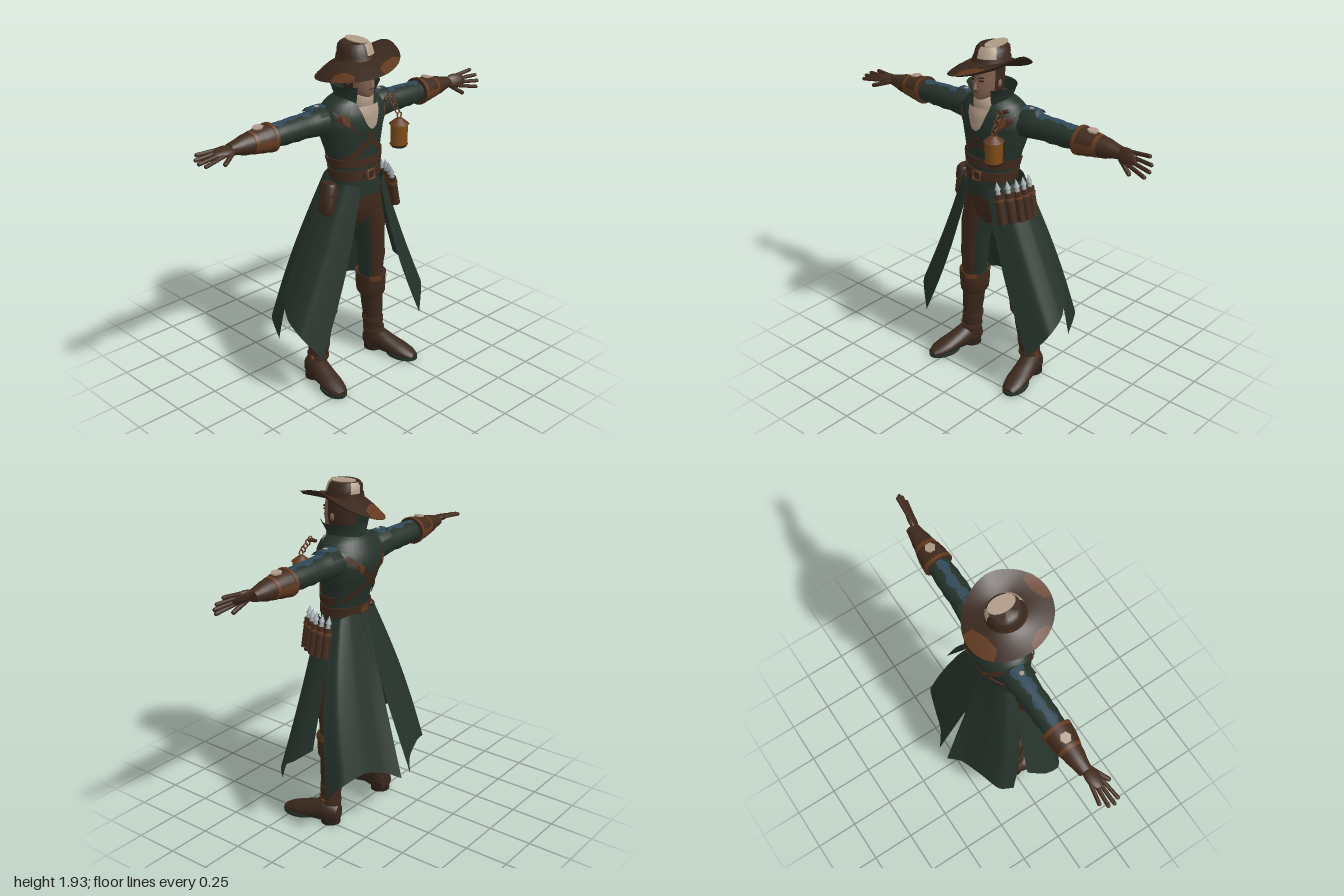
import * as THREE from 'three';
import { toCreasedNormals, mergeVertices } from 'three/addons/utils/BufferGeometryUtils.js';

const paint = (name, color) => {
  const m = new THREE.MeshStandardMaterial({ color, side: THREE.DoubleSide });
  m.name = name;
  return m;
};
const green = paint('coatGreen', 0x25322a), leather = paint('leather', 0x412a1d), hatBrown = paint('darkLeather', 0x3a281d),
  rust = paint('rustTrim', 0x623a20), cream = paint('cream', 0xae9a86), skin = paint('skin', 0x80604f),
  amber = paint('amber', 0x804c18), blue = paint('blueWear', 0x2f4857), silver = paint('glass', 0x9aa2a4), dark = paint('shadowBrown', 0x2a1e18);
const V = (x, y, z) => new THREE.Vector3(x, y, z);

function add(parent, name, geo, mat, p = [0, 0, 0], r = [0, 0, 0], s = [1, 1, 1]) {
  const m = new THREE.Mesh(geo, mat);
  m.name = name;
  m.position.set(...p); m.rotation.set(...r); m.scale.set(...s);
  parent.add(m);
  return m;
}
// surface from a rule: u runs to the right, v runs up, seen from outside
function grid(fn, nu, nv) {
  const pos = [], idx = [];
  for (let i = 0; i <= nv; i++) for (let j = 0; j <= nu; j++) pos.push(...fn(j / nu, i / nv));
  for (let i = 0; i < nv; i++) for (let j = 0; j < nu; j++) {
    const a = i * (nu + 1) + j, b = a + 1, c = a + nu + 1, d = c + 1;
    idx.push(a, b, d, a, d, c);
  }
  const g = new THREE.BufferGeometry();
  g.setAttribute('position', new THREE.Float32BufferAttribute(pos, 3));
  g.setIndex(idx);
  return toCreasedNormals(g, 0.8);
}
// elliptical cross-sections [x, y, z, rx, rz] from bottom to top
function loft(rings, { n = 24, a0 = 0, a1 = Math.PI * 2, cap = true } = {}) {
  const f = rings[0], l = rings[rings.length - 1];
  const R = cap ? [[f[0], f[1], f[2], 0, 0], ...rings, [l[0], l[1], l[2], 0, 0]] : rings;
  return grid((u, v) => {
    const [x, y, z, rx, rz] = R[Math.round(v * (R.length - 1))], a = a0 + (a1 - a0) * u;
    return [x + rx * Math.sin(a), y, z + rz * Math.cos(a)];
  }, n, R.length - 1);
}
function rod(parent, name, a, b, r, mat) {
  const d = V(...b).sub(V(...a));
  const m = add(parent, name, new THREE.CapsuleGeometry(r, d.length(), 4, 10), mat);
  m.position.set(...a).addScaledVector(d, 0.5);
  m.quaternion.setFromUnitVectors(V(0, 1, 0), d.normalize());
}
// right-hand copy with corners put back in order
function mirrored(group) {
  const out = new THREE.Group();
  out.name = group.name.replace('left', 'right');
  group.updateMatrixWorld(true);
  group.traverse((o) => {
    if (!o.isMesh) return;
    const g = mergeVertices(o.geometry.clone().applyMatrix4(o.matrixWorld).scale(-1, 1, 1));
    const ix = g.index.array;
    for (let i = 0; i < ix.length; i += 3) [ix[i], ix[i + 1]] = [ix[i + 1], ix[i]];
    add(out, o.name, g, o.material);
  });
  return out;
}

const TORSO = [[0, 1.11, 0.09, 0.155, 0.107], [0, 1.2, 0.088, 0.14, 0.11], [0, 1.3, 0.078, 0.152, 0.115], [0, 1.4, 0.06, 0.18, 0.135],
  [0, 1.5, 0.048, 0.203, 0.154], [0, 1.57, 0.053, 0.203, 0.138], [0, 1.62, 0.06, 0.16, 0.11], [0, 1.66, 0.07, 0.08, 0.08]];
function torsoAt(y, grow = 0) {
  let i = 0;
  while (i < TORSO.length - 2 && TORSO[i + 1][1] < y) i++;
  const a = TORSO[i], b = TORSO[i + 1], t = (y - a[1]) / (b[1] - a[1]);
  return a.map((q, k) => q + (b[k] - q) * t + (k > 2 ? grow : 0));
}
// point on the chest (side 1) or back (side -1)
function onTorso(x, y, grow, side = 1) {
  const [, , z, rx, rz] = torsoAt(Math.max(1.11, y), grow), q = Math.min(0.98, Math.abs(x / rx));
  return [x, y, z + side * rz * Math.sqrt(1 - q * q)];
}
const strap = (x0, y0, x1, y1, w, side, grow = 0.008) =>
  grid((u, v) => onTorso(x0 + (x1 - x0) * u, y0 + (y1 - y0) * u + (v - 0.5) * w, grow, side), 20, 2);

function buildTorso(g) {
  add(g, 'coatBody', loft(TORSO, { n: 32 }), green);
  add(g, 'hips', loft([[0, 0.92, 0.08, 0.035, 0.06], [0, 0.97, 0.085, 0.1, 0.085], [0, 1.05, 0.09, 0.145, 0.1], [0, 1.14, 0.09, 0.15, 0.105]]), leather);
  for (const s of [1, -1]) {
    add(g, 'frontStrap', strap(-s * 0.18, 1.57, s * 0.145, 1.31, 0.046, 1), leather);
    add(g, 'backStrap', strap(-s * 0.17, 1.57, s * 0.13, 1.3, 0.046, -1), leather);
    add(g, 'strapBuckle', strap(s * 0.125, 1.535, s * 0.155, 1.56, 0.05, 1, 0.011), rust);
    add(g, 'backBuckle', strap(s * 0.075, 1.485, s * 0.1, 1.505, 0.044, -1, 0.012), rust);
    add(g, 'lapel', grid((u, v) => onTorso(s * (0.014 + v * 0.05 + u * 0.075 * Math.sin(v * 2.5)), 1.41 + v * 0.2, 0.014), 6, 8), green);
    // two-pointed hem under the belt
    add(g, 'vestPoint', grid((u, v) => onTorso(s * u * 0.115, 1.19 - (1 - v) * (0.045 + 0.05 * Math.sin(u * 2.6)), 0.006), 10, 3), green);
  }
  const band = (y, h, o) => loft([torsoAt(y, 0.005), torsoAt(y, 0.012), torsoAt(y + h, 0.012), torsoAt(y + h, 0.005)], { n: 32, cap: false, ...o });
  add(g, 'waistBelt', band(1.205, 0.055), leather);
  add(g, 'upperBelt', band(1.28, 0.045, { a0: -2, a1: 2 }), leather);
  add(g, 'beltPatch', strap(-0.05, 1.235, 0.02, 1.235, 0.04, -1, 0.014), rust);
  add(g, 'buckle', new THREE.TorusGeometry(0.036, 0.007, 6, 4), rust, [0, 1.23, 0.211], [0, 0, Math.PI / 4]);
  add(g, 'buckleStrap', new THREE.BoxGeometry(0.1, 0.022, 0.01), hatBrown, [0, 1.23, 0.206]);
  add(g, 'collar', loft([[0, 1.59, 0.07, 0.12, 0.108], [0, 1.65, 0.075, 0.103, 0.105], [0, 1.715, 0.085, 0.138, 0.122]], { a0: 0.6, a1: Math.PI * 2 - 0.6, cap: false }), green);
  add(g, 'neckScarf', loft([[0, 1.57, 0.095, 0.075, 0.092], [0, 1.61, 0.103, 0.078, 0.094], [0, 1.65, 0.112, 0.068, 0.086], [0, 1.675, 0.115, 0.056, 0.072]]), cream);
  add(g, 'scarfPoint', grid((u, v) => {
    const p = onTorso((u - 0.5) * 2 * (0.004 + 0.064 * Math.sqrt(v)), 1.485 + v * 0.125, 0.018);
    return [p[0], p[1], p[2] + 0.012 * v * Math.cos((u - 0.5) * 3)];
  }, 10, 8), cream);
}

function buildHead(g) {
  add(g, 'head', loft([[0, 1.645, 0.15, 0.032, 0.04], [0, 1.665, 0.14, 0.05, 0.066], [0, 1.7, 0.125, 0.063, 0.082], [0, 1.75, 0.118, 0.07, 0.088], [0, 1.83, 0.11, 0.07, 0.085]]), skin);
  add(g, 'hairBack', loft([[0, 1.67, 0.11, 0.066, 0.082], [0, 1.74, 0.11, 0.077, 0.09], [0, 1.83, 0.105, 0.077, 0.09]], { a0: 1.2, a1: Math.PI * 2 - 1.2, cap: false }), hatBrown);
  add(g, 'nose', new THREE.ConeGeometry(0.012, 0.045, 8), skin, [0, 1.735, 0.21], [-0.2, 0, 0]);
  add(g, 'mouth', new THREE.BoxGeometry(0.03, 0.004, 0.006), leather, [0, 1.697, 0.205]);
  for (const s of [1, -1]) {
    add(g, 'eye', new THREE.BoxGeometry(0.022, 0.007, 0.006), dark, [s * 0.028, 1.757, 0.198], [0, s * 0.35, 0]);
    add(g, 'brow', new THREE.BoxGeometry(0.028, 0.007, 0.008), hatBrown, [s * 0.028, 1.773, 0.198], [0, s * 0.35, s * 0.15]);
    add(g, 'ear', new THREE.SphereGeometry(0.018, 10, 8), skin, [s * 0.075, 1.735, 0.11], [0, 0, 0], [0.5, 1.2, 0.8]);
  }
  // hat with a swept brim, turned up on one side
  const brim = (a, r, lift) => {
    const sx = Math.sin(a), cz = Math.cos(a);
    const y = 1.838 + Math.pow(r, 1.4) * (-0.065 + 0.06 * sx + 0.035 * cz + 0.03 * sx * sx + 0.03 * Math.max(0, sx) ** 10);
    return [(0.075 + 0.128 * r) * sx, y + lift, 0.1 + (0.075 + 0.162 * r) * cz];
  };
  add(g, 'hatBrim', grid((u, v) => {
    const k = Math.round(v * 16);
    return brim(u * Math.PI * 2, k < 8 ? k / 8 : (16 - k) / 8, k < 8 ? -0.007 : 0.007);
  }, 48, 16), hatBrown);
  for (const [a, w, r0] of [[3.4, 0.5, 0.5], [0.25, 0.4, 0.55], [-1.2, 0.3, 0.65]])
    add(g, 'brimPatch', grid((u, v) => brim(a + (u - 0.5) * 2 * w, 1 - (1 - r0) * v * (0.6 + 0.4 * Math.sin(u * 3.1)), 0.01), 10, 4), rust);
  const crown = [[0, 1.83, 0.09, 0.097, 0.107], [0, 1.865, 0.085, 0.09, 0.1], [0, 1.905, 0.078, 0.083, 0.093], [0, 1.922, 0.078, 0.066, 0.078]];
  add(g, 'hatCrown', loft(crown), hatBrown);
  add(g, 'hatBand', loft([[0, 1.838, 0.088, 0.099, 0.109], [0, 1.858, 0.085, 0.095, 0.105]], { cap: false }), leather);
  for (const [a0, a1] of [[-0.1, 1], [2.5, 3.1]])
    add(g, 'crownPatch', loft(crown.slice(1).map(([x, y, z, a, b]) => [x, y + 0.002, z, a + 0.004, b + 0.004]), { a0, a1, cap: false, n: 10 }), cream);
  add(g, 'crownTopPatch', new THREE.CylinderGeometry(1, 1, 0.005, 24), cream, [0.022, 1.927, 0.075], [0.06, 0, 0], [0.044, 1, 0.076]);
}

function buildArm() {
  const g = new THREE.Group();
  g.name = 'leftArm';
  // sections run outward along the arm
  const along = (name, rows, mat, o) => add(g, name, loft(rows.map(([d, ry, rz]) => [0, d, 0, ry, rz ?? ry]), o), mat, [0, 1.525, 0.03], [0, 0, -Math.PI / 2]);
  along('sleeve', [[0.12, 0.075, 0.08], [0.2, 0.076, 0.08], [0.27, 0.068, 0.072], [0.33, 0.062, 0.066], [0.37, 0.066, 0.07], [0.41, 0.061, 0.066], [0.45, 0.064, 0.068], [0.49, 0.058, 0.063], [0.56, 0.056, 0.062]], green);
  along('shoulderFlap', [[0.15, 0.07, 0.08], [0.2, 0.084, 0.086], [0.255, 0.088, 0.09]], green, { cap: false, a0: -Math.PI / 2 - 1, a1: -Math.PI / 2 + 1 });
  // ragged worn stripe on top of the arm
  add(g, 'blueWear', grid((u, v) => {
    const d = 0.18 + 0.35 * v, r = d < 0.27 ? 0.09 : 0.07 - (d - 0.27) * 0.03;
    const a = (u - 0.5) * (0.7 + 0.2 * Math.sin(v * 23) + 0.1 * Math.sin(v * 51)) + 0.1 * Math.sin(v * 13);
    return [d, 1.525 + r * Math.cos(a), 0.03 - (r + 0.003) * Math.sin(a)];
  }, 6, 28), blue);
  along('glove', [[0.53, 0.074, 0.08], [0.6, 0.068, 0.073], [0.66, 0.055, 0.058], [0.7, 0.052, 0.054], [0.74, 0.04, 0.044], [0.79, 0.028, 0.036]], leather);
  along('cuffTrim', [[0.533, 0.077, 0.083], [0.552, 0.076, 0.081]], rust);
  along('wristStrap', [[0.645, 0.061, 0.064], [0.665, 0.057, 0.061]], rust);
  for (const a of [-0.2, 2.6])
    along('gauntletPatch', [[0.55, 0.076, 0.081], [0.6, 0.071, 0.076], [0.65, 0.061, 0.065]], rust, { cap: false, n: 8, a0: a, a1: a + 0.75 });
  add(g, 'backPlate', new THREE.CylinderGeometry(0.03, 0.03, 0.008, 6), cream, [0.61, 1.595, 0.03], [0, 0, -0.15]);
  add(g, 'shoulderScuff', new THREE.CylinderGeometry(0.013, 0.013, 0.006, 6), cream, [0.225, 1.614, 0.035]);
  return g;
}
function buildHand(turn, yaw) {
  const g = new THREE.Group();
  g.name = 'leftHandParts';
  add(g, 'palm', new THREE.SphereGeometry(1, 16, 12), leather, [0.055, 0, 0], [0, 0, 0], [0.07, 0.02, 0.042]);
  for (let i = 0; i < 4; i++) {
    const k = i - 1.5, len = [0.2, 0.215, 0.21, 0.18][i];
    rod(g, 'finger', [0.08, 0, -k * 0.021], [len, -0.006, -k * 0.034], 0.0105, leather);
  }
  rod(g, 'thumb', [0.02, -0.005, 0.025], [0.1, -0.015, 0.072], 0.012, leather);
  g.rotation.x = turn;
  const holder = new THREE.Group();
  holder.name = 'leftHand';
  holder.position.set(0.775, 1.53, 0.042);
  holder.rotation.set(0, yaw, -0.04);
  holder.add(g);
  return holder;
}

function buildLeg() {
  const g = new THREE.Group();
  g.name = 'leftLeg';
  const thigh = [[0.18, 0.48, 0.045, 0.06, 0.065], [0.168, 0.6, 0.05, 0.068, 0.074], [0.163, 0.66, 0.055, 0.076, 0.082], [0.155, 0.72, 0.06, 0.075, 0.08],
    [0.122, 0.88, 0.075, 0.088, 0.09], [0.085, 1.03, 0.085, 0.08, 0.092], [0.07, 1.12, 0.09, 0.07, 0.09]];
  add(g, 'trouserLeg', loft(thigh), leather);
  const inset = thigh.slice(0, 6).map(([x, y, z, a, b]) => [x, y, z, a + 0.004, b + 0.004]);
  add(g, 'trouserInset', loft(inset, { a0: -2.6, a1: -0.75, cap: false }), green);
  add(g, 'bootCuff', loft([[0.19, 0.39, 0.03, 0.066, 0.075], [0.188, 0.41, 0.03, 0.077, 0.087], [0.186, 0.47, 0.03, 0.082, 0.091], [0.182, 0.53, 0.035, 0.08, 0.09]]), leather);
  for (const [a0, a1] of [[0.5, 1.7], [-0.9, -0.1], [3, 3.8]])
    add(g, 'cuffTrim', loft([[0.183, 0.505, 0.034, 0.085, 0.094], [0.181, 0.537, 0.035, 0.084, 0.094]], { a0, a1, cap: false, n: 10 }), rust);
  add(g, 'bootShaft', loft([[0.23, 0.07, 0.02, 0.056, 0.062], [0.22, 0.14, 0.02, 0.052, 0.058], [0.213, 0.2, 0.027, 0.056, 0.062], [0.209, 0.23, 0.028, 0.052, 0.058],
    [0.2, 0.32, 0.03, 0.06, 0.066], [0.19, 0.42, 0.03, 0.062, 0.068]]), hatBrown);
  for (const [x, y] of [[0.221, 0.13], [0.211, 0.21]])
    add(g, 'bootStrap', loft([[x, y, 0.024, 0.058, 0.065], [x, y + 0.02, 0.024, 0.058, 0.065]]), leather);
  add(g, 'bootBuckle', new THREE.CylinderGeometry(0.016, 0.016, 0.008, 8), rust, [0.28, 0.14, 0.035], [0, 0, Math.PI / 2]);
  const foot = new THREE.Group();
  foot.name = 'foot';
  foot.position.set(0.232, 0, 0);
  foot.rotation.y = 0.2;
  add(foot, 'shoe', loft([[0, -0.04, -0.065, 0.04, 0.05], [0, -0.01, -0.07, 0.057, 0.065], [0, 0.06, -0.072, 0.058, 0.068], [0, 0.13, -0.057, 0.06, 0.052], [0, 0.2, -0.045, 0.062, 0.042], [0, 0.26, -0.035, 0.053, 0.03], [0, 0.3, -0.028, 0.03, 0.016]]), hatBrown, [0, 0, 0], [Math.PI / 2, 0, 0]);
  add(foot, 'sole', new THREE.CylinderGeometry(1, 1, 0.02, 28), green, [0, 0.018, 0.21], [0, 0, 0], [0.064, 1, 0.1]);
  add(foot, 'shank', new THREE.BoxGeometry(0.08, 0.02, 0.14), green, [0, 0.025, 0.09]);
  add(foot, 'heel', new THREE.CylinderGeometry(0.054, 0.056, 0.035, 20), dark, [0, 0.0175, 0.012]);
  g.add(foot);
  return g;
}

function buildTails() {
  const g = new THREE.Group();
  g.name = 'leftCoatTails';
  const line = (pts) => new THREE.CatmullRomCurve3(pts.map((p) => V(...p)), false, 'catmullrom', 0.35);
  // flare pushes the first edge of a panel sideways at mid height
  const panel = (name, top, bottom, flare) => {
    const t = line(top), b = line(bottom);
    add(g, name, grid((u, v) => {
      const p = b.getPoint(u).lerp(t.getPoint(u), v);
      return [p.x + flare * (1 - u) ** 2 * Math.sin(v * Math.PI), p.y, p.z];
    }, 24, 12), green);
  };
  panel('frontTail', [[0.07, 1.17, 0.21], [0.14, 1.19, 0.16], [0.165, 1.19, 0.09], [0.165, 1.19, 0.03]],
    [[0.38, 0.265, 0.24], [0.47, 0.405, 0.165], [0.475, 0.47, 0.07], [0.43, 0.55, -0.03]], -0.03);
  panel('backTail', [[0.165, 1.19, 0.045], [0.15, 1.21, 0.0], [0.1, 1.22, -0.022], [0.04, 1.22, -0.028], [-0.03, 1.22, -0.028]],
    [[0.4, 0.26, -0.1], [0.375, 0.36, -0.19], [0.25, 0.4, -0.24], [0.12, 0.36, -0.28], [0.04, 0.31, -0.338]], 0.05);
  return g;
}

function buildGear(g) {
  // chest lantern on a chain
  const l = new THREE.Group();
  l.name = 'lantern';
  l.position.set(0.16, 1.36, 0.255);
  add(l, 'lanternGlass', new THREE.CylinderGeometry(0.047, 0.045, 0.115, 20), amber, [0, 0.067, 0]);
  add(l, 'lanternBase', new THREE.CylinderGeometry(0.049, 0.04, 0.014, 20), leather, [0, 0.006, 0]);
  add(l, 'lanternCap', new THREE.CylinderGeometry(0.016, 0.054, 0.03, 20), rust, [0, 0.14, 0]);
  for (let i = 0; i < 5; i++) add(l, 'chainLink', new THREE.TorusGeometry(0.015, 0.004, 6, 14), rust, [-0.002 * i, 0.172 + i * 0.021, -0.014 * i], [0, (i % 2) * 1.5, 0]);
  rod(l, 'chainHook', [-0.03, 0.245, -0.075], [0.02, 0.265, -0.085], 0.01, leather);
  g.add(l);
  // hip vials in leather sleeves
  for (let i = 0; i < 5; i++) {
    const v = new THREE.Group(), z = 0.215 - i * 0.046;
    v.name = 'vial';
    v.position.set(0.172 + 0.06 * Math.sin(Math.min(1, i / 3) * 1.57), 1.09, z);
    v.rotation.z = 0.2;
    add(v, 'vialSleeve', new THREE.CylinderGeometry(0.022, 0.024, 0.165, 14), leather);
    add(v, 'vialBand', new THREE.CylinderGeometry(0.025, 0.025, 0.014, 14), rust, [0, 0.05, 0]);
    add(v, 'vialGlass', new THREE.CylinderGeometry(0.009, 0.014, 0.035, 10), silver, [0, 0.095, 0]);
    add(v, 'vialTip', new THREE.ConeGeometry(0.017, 0.045, 10), silver, [0, 0.13, 0]);
    g.add(v);
  }
  // pouch on the other hip
  const p = new THREE.Group();
  p.name = 'pouch';
  p.position.set(-0.2, 1.11, 0.09);
  p.rotation.z = -0.1;
  add(p, 'pouchBody', loft([[0, -0.085, 0, 0.034, 0.045], [0, -0.07, 0, 0.042, 0.054], [0, 0.07, 0, 0.036, 0.048], [0, 0.085, 0, 0.028, 0.04]], { n: 16 }), leather);
  add(p, 'pouchFlap', loft([[0, 0.02, 0, 0.044, 0.055], [0, 0.075, 0, 0.041, 0.052], [0, 0.09, 0, 0.03, 0.042]], { n: 16 }), hatBrown);
  g.add(p);
}

export function createModel() {
  const root = new THREE.Group();
  root.name = 'caped wanderer';
  const sub = (name, build) => { const g = new THREE.Group(); g.name = name; build(g); root.add(g); };
  sub('torso', buildTorso);
  sub('headAndHat', buildHead);
  sub('gear', buildGear);
  for (const part of [buildArm(), buildLeg(), buildTails()]) root.add(part, mirrored(part));
  root.add(buildHand(1.1, -0.2), mirrored(buildHand(0.25, 0)));
  return root;
}
